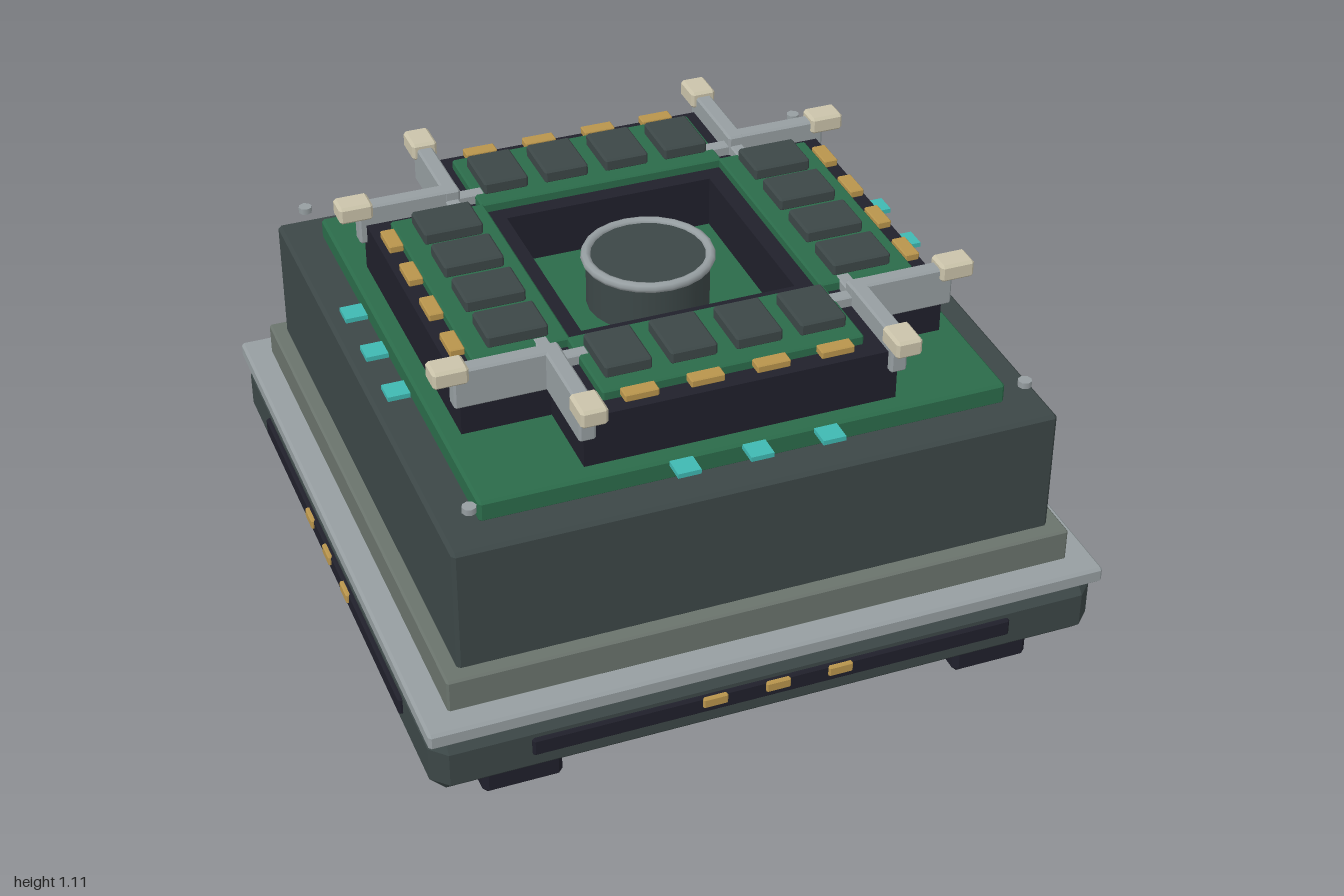
import * as THREE from 'three';
import { ConvexGeometry } from 'three/addons/geometries/ConvexGeometry.js';

const mat = (name, color) => Object.assign(new THREE.MeshStandardMaterial({ color }), { name });

// Box with chamfered edges, given half sizes in x and z and its bottom and top
function chamferBox(hx, y0, y1, hz, c) {
  const hy = (y1 - y0) / 2, pts = [];
  for (const x of [-1, 1]) for (const y of [-1, 1]) for (const z of [-1, 1]) {
    pts.push(new THREE.Vector3(x * hx, y * (hy - c), z * (hz - c)));
    pts.push(new THREE.Vector3(x * (hx - c), y * hy, z * (hz - c)));
    pts.push(new THREE.Vector3(x * (hx - c), y * (hy - c), z * hz));
  }
  return new ConvexGeometry(pts).translate(0, (y0 + y1) / 2, 0);
}

export function createModel() {
  const body = mat('darkSlate', 0x3c4747);
  const steel = mat('steel', 0x969ea1);
  const stone = mat('greyGreen', 0x6a736c);
  const dark = mat('nearBlack', 0x20202b);
  const green = mat('boardGreen', 0x2b6b4a);
  const gold = mat('gold', 0xb8944c);
  const teal = mat('teal', 0x3fb8b2);
  const cream = mat('cream', 0xcac3aa);

  const model = new THREE.Group();
  const add = (parent, name, geo, m, x = 0, z = 0) => {
    const mesh = new THREE.Mesh(geo, m);
    mesh.name = name;
    mesh.position.set(x, 0, z);
    parent.add(mesh);
    return mesh;
  };

  // Stacked housing, from the skids up to the main board
  for (const s of [-1, 1]) add(model, 'skid', chamferBox(0.115, 0, 0.12, 0.9, 0.015), dark, s * 0.705);
  add(model, 'base', chamferBox(0.98, 0.1, 0.295, 0.98, 0.045), body);
  add(model, 'rimPlate', chamferBox(0.99, 0.29, 0.34, 0.99, 0.008), steel);
  add(model, 'plinth', chamferBox(0.912, 0.335, 0.438, 0.912, 0.006), stone);
  add(model, 'housing', chamferBox(0.868, 0.43, 0.815, 0.868, 0.01), body);
  add(model, 'mainBoard', chamferBox(0.758, 0.81, 0.875, 0.758, 0.008), green);

  // Cross-shaped wall around a square well
  const a = 0.45, b = 0.705, w = 0.315;
  const cross = new THREE.Shape([
    [-a, -b], [a, -b], [a, -a], [b, -a], [b, a], [a, a],
    [a, b], [-a, b], [-a, a], [-b, a], [-b, -a], [-a, -a],
  ].map(([x, y]) => new THREE.Vector2(x, y)));
  cross.holes.push(new THREE.Path([[-w, -w], [-w, w], [w, w], [w, -w]].map(([x, y]) => new THREE.Vector2(x, y))));
  const wall = new THREE.ExtrudeGeometry(cross, { depth: 0.16, bevelEnabled: false });
  wall.rotateX(-Math.PI / 2).translate(0, 0.87, 0);
  add(model, 'wellWall', wall, dark);

  // Central hub with its ring
  add(model, 'hub', new THREE.CylinderGeometry(0.178, 0.178, 0.155, 24).translate(0, 0.9475, 0), body);
  const ring = new THREE.TorusGeometry(0.178, 0.015, 8, 24).rotateX(Math.PI / 2).translate(0, 1.022, 0);
  add(model, 'hubRing', ring, steel);

  // The same fittings on each of the four sides
  const chip = chamferBox(0.067, 1.055, 1.095, 0.087, 0.006);
  const contact = chamferBox(0.048, 1.04, 1.063, 0.021, 0.003);
  const light = new THREE.BoxGeometry(0.066, 0.014, 0.064).translate(0, 0.885, 0);
  const stud = chamferBox(0.036, 0.204, 0.236, 0.02, 0.004);
  const boardStrip = chamferBox(0.375, 1.025, 1.058, 0.14, 0.005);
  const slot = chamferBox(0.705, 0.182, 0.238, 0.02, 0.006);
  for (let i = 0; i < 4; i++) {
    const side = new THREE.Group();
    side.name = 'side';
    side.rotation.y = i * Math.PI / 2;
    model.add(side);
    add(side, 'boardStrip', boardStrip, green, 0, 0.507);
    for (const x of [-0.28, -0.094, 0.094, 0.28]) {
      add(side, 'chip', chip, body, x, 0.505);
      add(side, 'contact', contact, gold, x, 0.67);
    }
    for (const x of [-0.207, 0, 0.207]) add(side, 'indicator', light, teal, x, 0.814);
    add(side, 'baseSlot', slot, dark, 0, 0.972);
    for (const x of [-0.185, 0, 0.185]) add(side, 'slotContact', stud, gold, x, 0.98);
  }

  // Corner clamps: two crossed arms with capped outer ends, and a corner screw
  const outer = chamferBox(0.153, 0.97, 1.09, 0.024, 0.006);
  const inner = chamferBox(0.06, 0.97, 1.06, 0.02, 0.004);
  const cap = chamferBox(0.05, 1.053, 1.106, 0.038, 0.008);
  const screw = new THREE.CylinderGeometry(0.02, 0.02, 0.018, 8).translate(0, 0.895, 0);
  for (let i = 0; i < 4; i++) {
    const clamp = new THREE.Group();
    clamp.name = 'cornerClamp';
    clamp.rotation.y = i * Math.PI / 2;
    model.add(clamp);
    for (const alongZ of [false, true]) {
      const place = (name, geo, m, d) => {
        const part = add(clamp, name, geo, m, alongZ ? 0.445 : d, alongZ ? d : 0.445);
        if (alongZ) part.rotation.y = Math.PI / 2;
      };
      place('clampArm', outer, steel, 0.573);
      place('clampInnerArm', inner, steel, 0.405);
      place('clampCap', cap, cream, 0.735);
    }
    add(clamp, 'cornerScrew', screw, steel, 0.795, 0.795);
  }
  return model;
}
